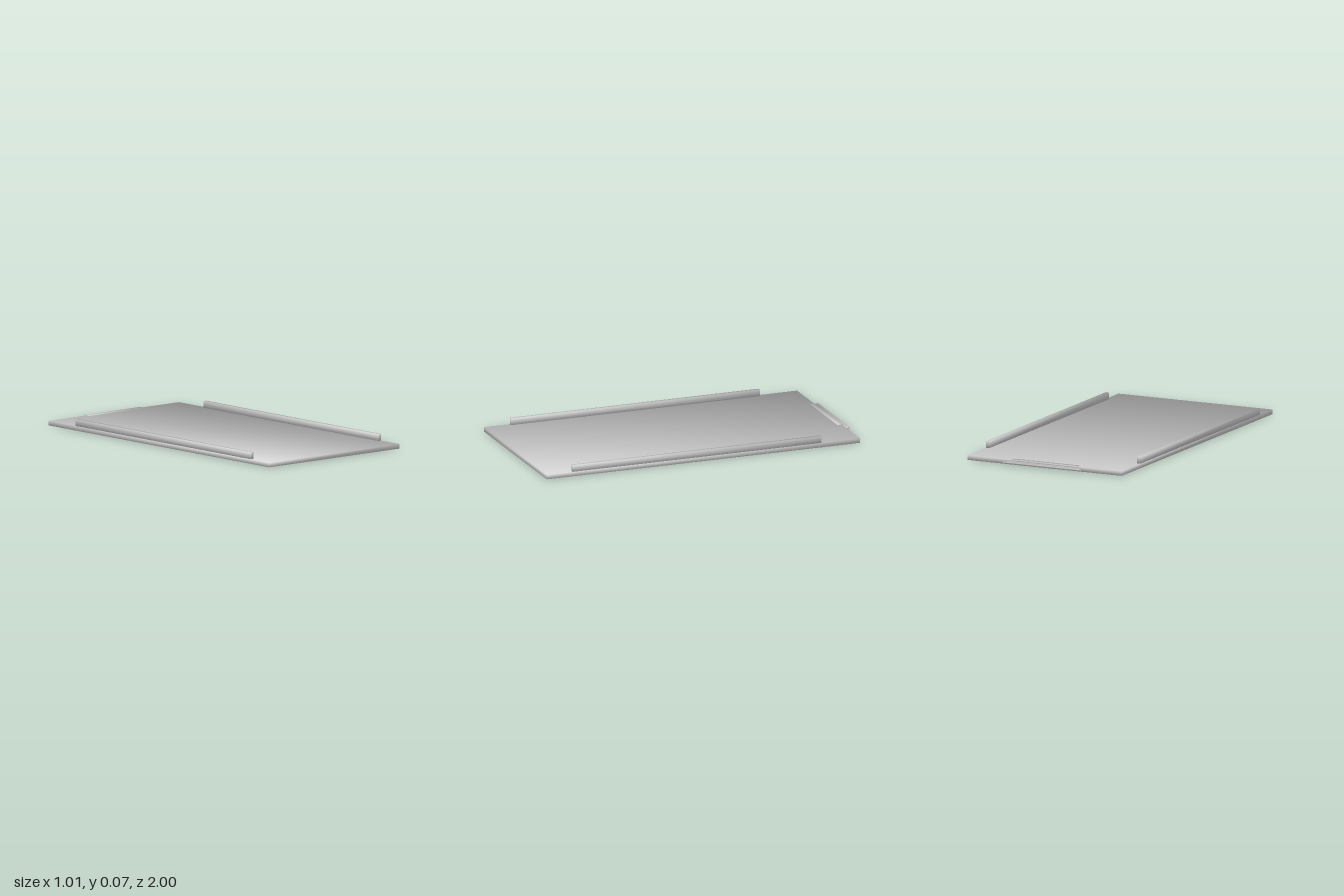
import * as THREE from 'three';

// Box from min/max corners with shared corner normals, for soft shading across edges
function softBox([x0, y0, z0], [x1, y1, z1]) {
  const positions = [], normals = [];
  for (let i = 0; i < 8; i++) {
    const sx = i & 1, sy = (i >> 1) & 1, sz = i >> 2;
    positions.push(sx ? x1 : x0, sy ? y1 : y0, sz ? z1 : z0);
    const n = 1 / Math.sqrt(3);
    normals.push(sx ? n : -n, sy ? n : -n, sz ? n : -n);
  }
  const geometry = new THREE.BufferGeometry();
  geometry.setAttribute('position', new THREE.Float32BufferAttribute(positions, 3));
  geometry.setAttribute('normal', new THREE.Float32BufferAttribute(normals, 3));
  geometry.setIndex([
    2, 6, 7, 2, 7, 3, // top
    0, 1, 5, 0, 5, 4, // bottom
    4, 5, 7, 4, 7, 6, // front
    0, 2, 3, 0, 3, 1, // back
    1, 3, 7, 1, 7, 5, // left side
    0, 4, 6, 0, 6, 2, // right side
  ]);
  return geometry;
}

export function createModel() {
  const model = new THREE.Group();
  model.name = 'slidingTray';
  const grey = new THREE.MeshStandardMaterial({ color: 0xcccccc });
  grey.name = 'lightGrey';

  const add = (name, min, max) => {
    const mesh = new THREE.Mesh(softBox(min, max), grey);
    mesh.name = name;
    model.add(mesh);
  };

  // Flat panel
  add('panel', [-0.505, 0, -0.967], [0.505, 0.027, 1]);

  // Raised rails along both long edges
  add('leftRail', [0.483, 0.027, -0.725], [0.505, 0.066, 0.837]);
  add('rightRail', [-0.505, 0.027, -0.725], [-0.483, 0.066, 0.837]);

  // Stepped catch on the back edge
  add('catchLip', [-0.215, 0.018, -0.974], [0.215, 0.03, -0.94]);
  add('catchNeck', [-0.235, 0.014, -0.985], [0.235, 0.022, -0.964]);
  add('catchBar', [-0.253, 0.01, -1], [0.253, 0.019, -0.981]);

  return model;
}
